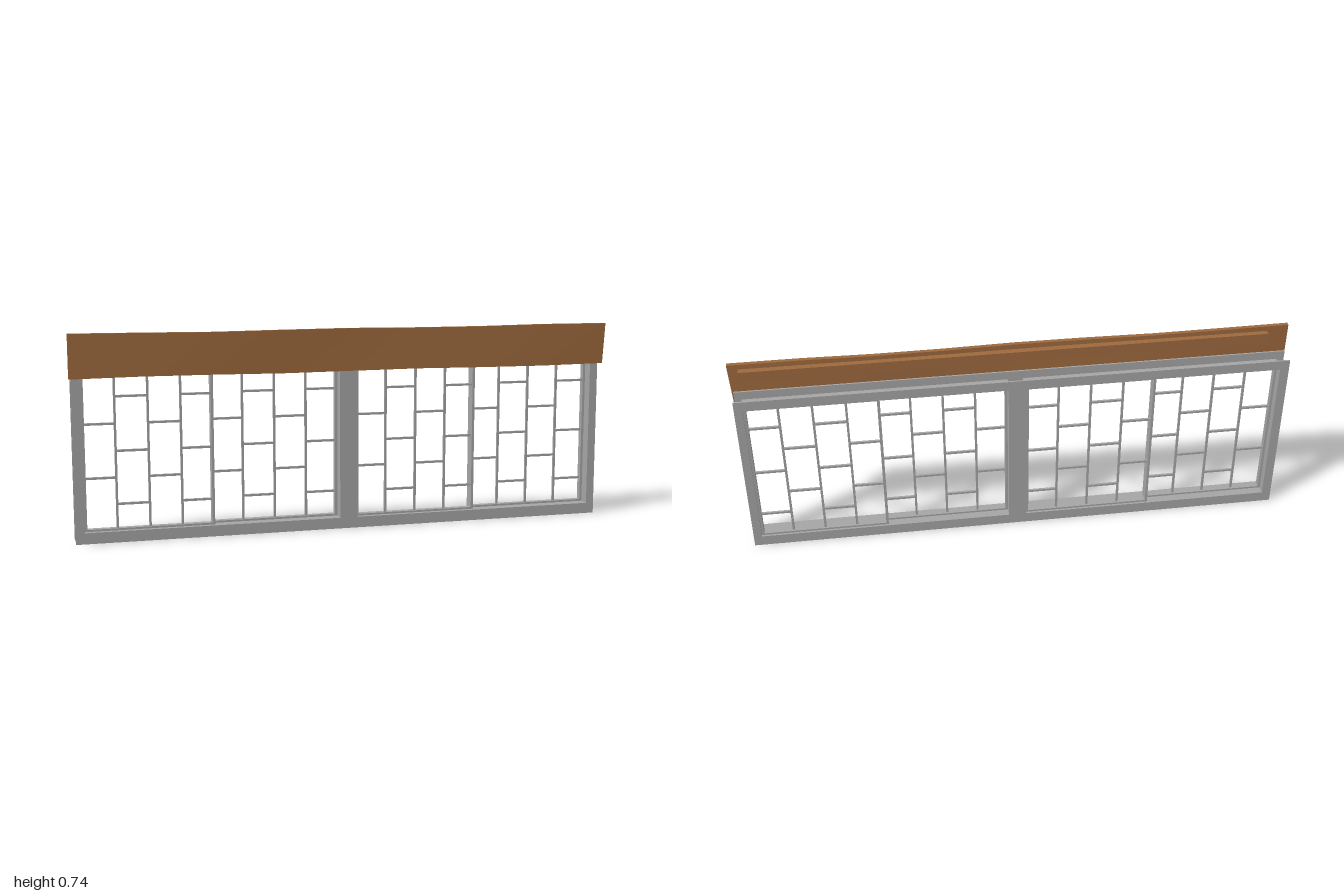
import * as THREE from 'three';

const grey = new THREE.MeshStandardMaterial({ color: 0xa6a6a6 });
grey.name = 'grey metal';
const brown = new THREE.MeshStandardMaterial({ color: 0x9e6a3e });
brown.name = 'brown wood';

// Box given by its lower and upper limits on each axis
function box(name, material, x0, x1, y0, y1, z0, z1, segments = 1) {
  const geometry = new THREE.BoxGeometry(x1 - x0, y1 - y0, z1 - z0, segments, 1, 1);
  geometry.translate((x0 + x1) / 2, (y0 + y1) / 2, (z0 + z1) / 2);
  const mesh = new THREE.Mesh(geometry, material);
  mesh.name = name;
  return mesh;
}

// Flat rectangular plate with rectangular holes, each [x0, x1, y0, y1]
function frame(name, outer, holes, z0, z1) {
  const corners = ([x0, x1, y0, y1]) => [
    new THREE.Vector2(x0, y0), new THREE.Vector2(x1, y0),
    new THREE.Vector2(x1, y1), new THREE.Vector2(x0, y1)];
  const shape = new THREE.Shape(corners(outer));
  for (const hole of holes) shape.holes.push(new THREE.Path(corners(hole)));
  const geometry = new THREE.ExtrudeGeometry(shape, { depth: z1 - z0, bevelEnabled: false });
  geometry.translate(0, 0, z0);
  const mesh = new THREE.Mesh(geometry, grey);
  mesh.name = name;
  return mesh;
}

// Sliding sash: slim frame, upright bars and staggered cross bars
function sash(name, x0, x1, z) {
  const group = new THREE.Group();
  group.name = name;
  const y0 = 0.038, y1 = 0.609, columns = 4, bar = 0.004;
  const rim = 0.009, step = (x1 - x0) / columns;
  group.add(frame('sashFrame', [x0, x1, y0, y1],
    [[x0 + rim, x1 - rim, y0 + rim, y1 - rim]], z - 0.011, z + 0.011));
  for (let i = 0; i < columns; i++) {
    const left = x0 + i * step;
    if (i > 0) group.add(box('uprightBar', grey, left - bar, left + bar, y0, y1, z - bar, z + bar));
    const heights = i % 2 ? [0.133, 0.323, 0.516] : [0.228, 0.42];
    for (const y of heights) {
      group.add(box('crossBar', grey, left, left + step, y - bar, y + bar, z - bar, z + bar));
    }
  }
  return group;
}

// Rough-sawn board: corners pushed slightly off line along its length
function roughBoard() {
  const board = box('valanceBoard', brown, -0.998, 0.994, 0.587, 0.739, 0.036, 0.051, 8);
  const p = board.geometry.attributes.position;
  for (let i = 0; i < p.count; i++) {
    const x = p.getX(i), y = p.getY(i);
    const top = y > 0.66 ? 1 : 0;
    p.setXYZ(i, x + (x > 0.9 ? (top ? 0.004 : -0.004) : 0),
      y + 0.002 * Math.sin(x * 7 + top * 2),
      p.getZ(i) + 0.0018 * Math.sin(x * 5 + top * 2.5));
  }
  board.geometry.computeVertexNormals();
  return board;
}

export function createModel() {
  const model = new THREE.Group();
  model.name = 'windowWithValance';

  // Front and back trim plates with two openings
  const outer = [-0.99, 0.985, 0, 0.643];
  const openings = [[-0.957, -0.034, 0.04, 0.607], [0.031, 0.955, 0.04, 0.607]];
  model.add(frame('frontTrim', outer, openings, 0.014, 0.02));
  model.add(frame('backTrim', outer, openings, -0.051, -0.045));

  // Deep lining and a pair of sliding sashes in each opening
  for (const [x0, x1, y0, y1] of openings) {
    model.add(frame('jambLining', [x0 - 0.005, x1 + 0.005, y0 - 0.005, y1 + 0.005],
      [[x0, x1, y0, y1]], -0.045, 0.014));
    const middle = (x0 + x1) / 2 - 0.004;
    model.add(sash('frontSash', x0, middle + 0.004, -0.008));
    model.add(sash('backSash', middle - 0.004, x1, -0.032));
  }

  // Wooden board across the top, with its batten behind
  model.add(roughBoard());
  model.add(box('batten', brown, -0.92, 0.96, 0.685, 0.722, 0.014, 0.038));
  return model;
}
